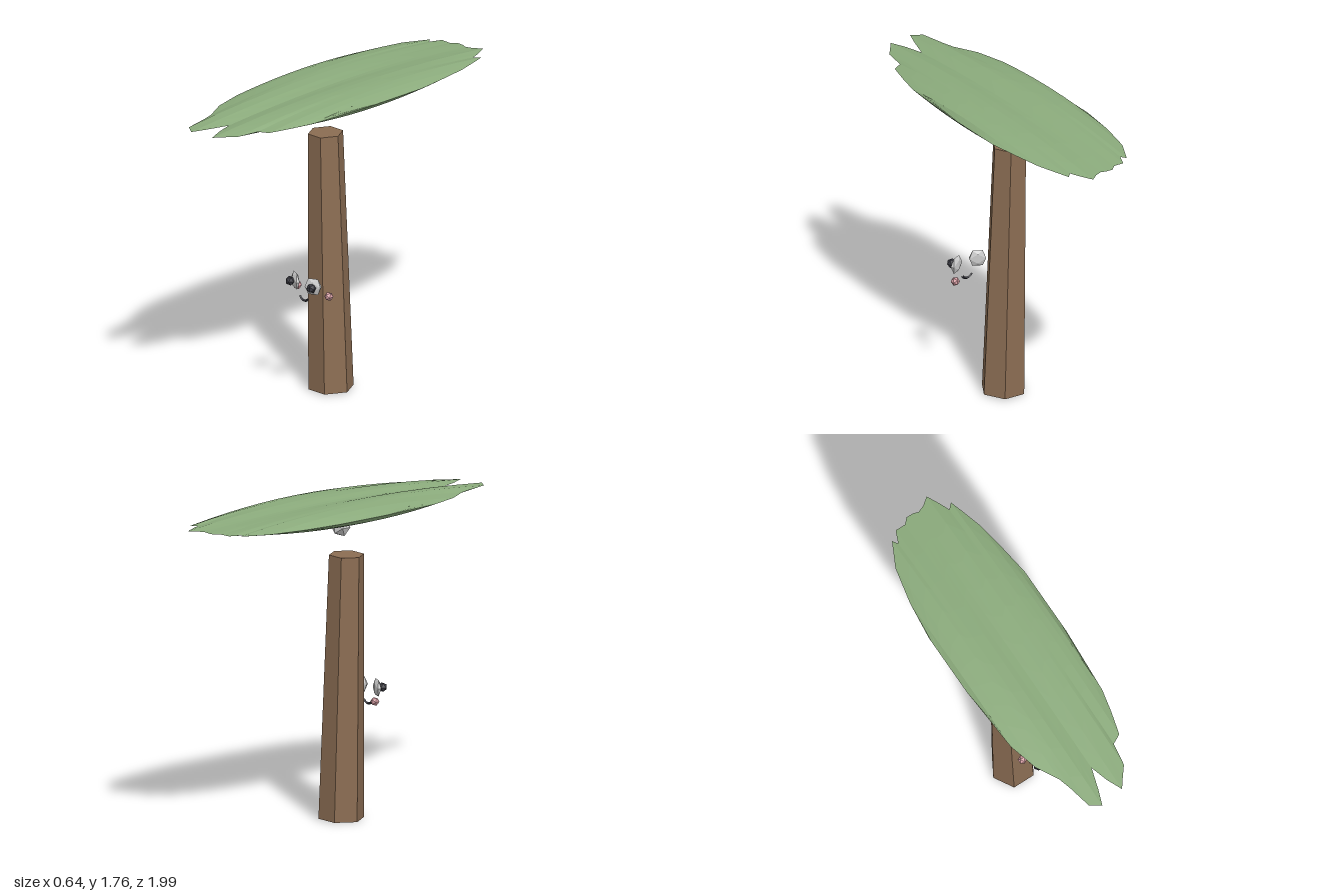
import * as THREE from 'three';

const material = (color) => new THREE.MeshStandardMaterial({ color, flatShading: true });
const grey = material(0xcccccc);
const bark = material(0x8b6d53);
const green = material(0x8bab7c);
const dark = material(0x3a3a42);
const pink = material(0xd9a0a6);

function part(name, geometry, mat, x = 0, y = 0, z = 0) {
  const mesh = new THREE.Mesh(geometry, mat);
  mesh.name = name;
  mesh.position.set(x, y, z);
  return mesh;
}

// Lens-shaped leaf, lofted across x; each column is [x, back z, front z]
function leafGeometry() {
  const columns = [
    [-0.32, -0.32, 0.05], [-0.295, -0.54, 0.44], [-0.25, -0.75, 0.61], [-0.18, -0.89, 0.74],
    [-0.16, -0.86, 0.81], [-0.13, -0.93, 0.95], [-0.07, -0.93, 0.99], [-0.04, -0.96, 0.91],
    [0, -0.96, 0.78], [0.03, -0.95, 0.88], [0.07, -0.965, 0.97], [0.115, -1, 0.91],
    [0.155, -0.92, 0.86], [0.175, -0.87, 0.73], [0.205, -0.9, 0.715], [0.23, -0.82, 0.7],
    [0.265, -0.7, 0.57], [0.293, -0.53, 0.44], [0.318, -0.35, 0.05],
  ];
  const rows = 10;
  const positions = [];
  const index = [];
  for (const side of [1, -1]) {
    const base = positions.length / 3;
    columns.forEach(([x, back, front], i) => {
      const across = Math.sqrt(Math.max(0, 1 - (x / 0.318) ** 4));
      const groove = side > 0 ? 1 - 0.3 * Math.exp(-((x / 0.07) ** 2)) : 1;
      for (let j = 0; j <= rows; j++) {
        const s = j / rows;
        const h = 0.05 * across * groove * (1 - (2 * s - 1) ** 2);
        positions.push(x, side * h, back + (front - back) * s);
        if (i === 0 || j === 0) continue;
        const d = base + i * (rows + 1) + j;
        const c = d - 1, b = d - rows - 1, a = b - 1;
        if (side > 0) index.push(a, b, c, b, d, c);
        else index.push(a, c, b, b, c, d);
      }
    });
  }
  const geometry = new THREE.BufferGeometry();
  geometry.setAttribute('position', new THREE.Float32BufferAttribute(positions, 3));
  geometry.setIndex(index);
  geometry.computeVertexNormals();
  return geometry;
}

// Eyes, cheeks and mouth, floating in front of the trunk
function createFace() {
  const face = new THREE.Group();
  face.name = 'face';
  face.position.set(0.056, 0.683, 0);
  for (const side of [-1, 1]) {
    const label = side > 0 ? 'left' : 'right';
    const eye = new THREE.Group();
    eye.name = label + 'Eye';
    eye.position.set(side * 0.069, 0, 0.272);
    eye.rotation.y = side * 0.45;
    const white = part('eyeWhite', new THREE.IcosahedronGeometry(0.053), grey);
    white.scale.z = 0.35;
    eye.add(white, part('pupil', new THREE.IcosahedronGeometry(0.027), dark, 0, 0, 0.03));
    face.add(eye);
    face.add(part(label + 'Cheek', new THREE.IcosahedronGeometry(0.025), pink, side * 0.122, -0.059, 0.206));
  }
  // Smile: lower arc of a ring
  const smile = new THREE.TorusGeometry(0.036, 0.007, 4, 8, Math.PI * 0.7);
  smile.rotateZ(Math.PI * 1.15);
  face.add(part('mouth', smile, dark, 0, -0.062, 0.272));
  return face;
}

export function createModel() {
  const model = new THREE.Group();
  model.name = 'tree';

  // Leaning six-sided trunk
  const trunkShape = new THREE.CylinderGeometry(0.097, 0.125, 1.453, 6);
  trunkShape.rotateY(Math.PI / 6);
  const trunk = part('trunk', trunkShape, bark, -0.024, 0.73, 0.017);
  trunk.rotation.z = 0.029;

  model.add(
    trunk,
    part('crownBall', new THREE.IcosahedronGeometry(0.054), grey, 0, 1.6, 0.017),
    part('leaf', leafGeometry(), green, 0, 1.709, 0),
    createFace(),
  );
  return model;
}
